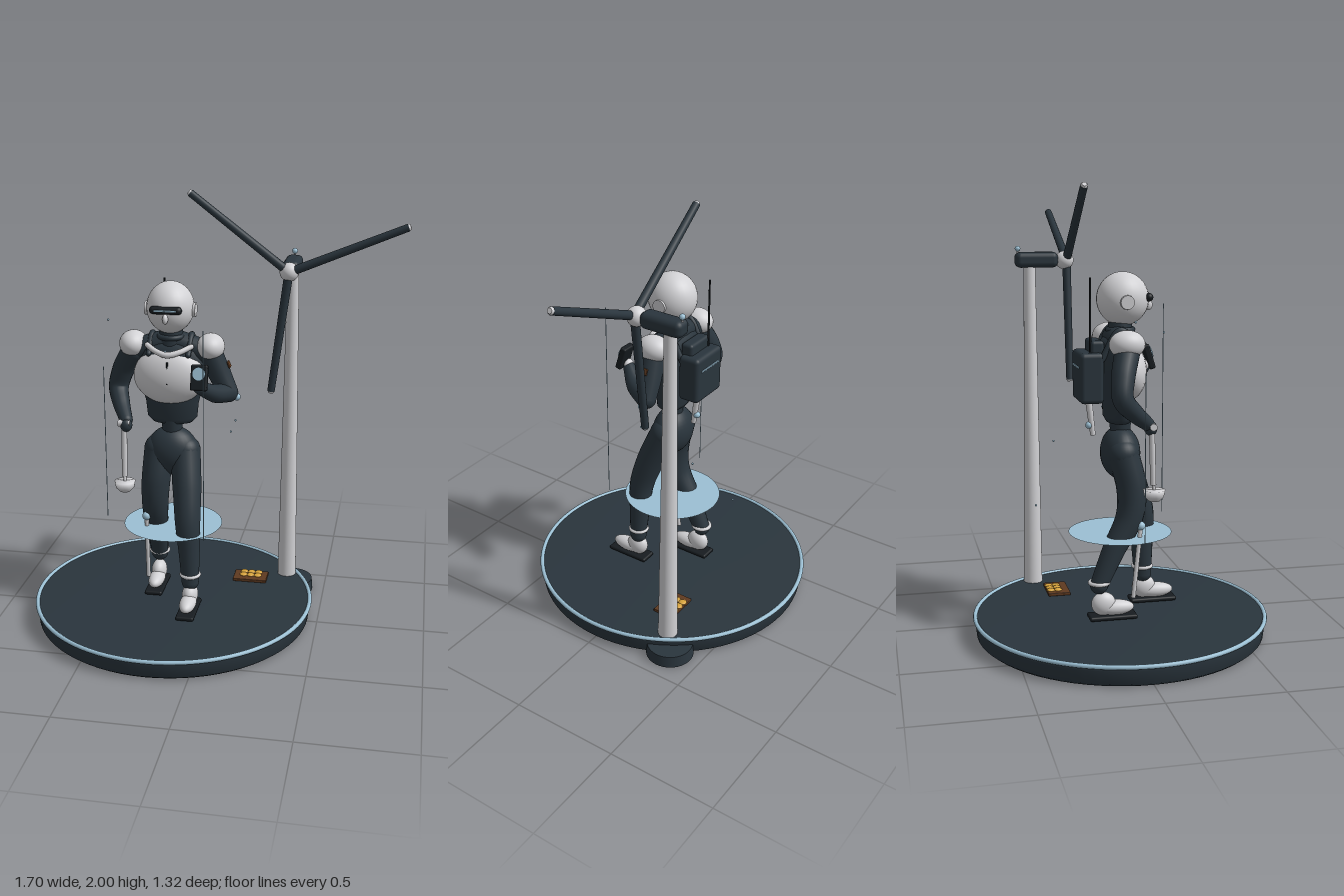
import * as THREE from 'three';
import { RoundedBoxGeometry } from 'three/addons/geometries/RoundedBoxGeometry.js';

const mat = (name, color, side = THREE.FrontSide) => {
  const m = new THREE.MeshStandardMaterial({ color, side });
  m.name = name;
  return m;
};
const V = (p) => new THREE.Vector3(...p);

export function createModel() {
  const dark = mat('charcoal', 0x2a353d);
  const black = mat('black', 0x171c20);
  const white = mat('shell white', 0xd2d2d5);
  const blue = mat('pale blue', 0x9cc0d4, THREE.DoubleSide);
  const brown = mat('tray brown', 0x5f3a20);
  const yellow = mat('amber', 0xd8a43c);
  const model = new THREE.Group();

  // Helpers
  const add = (parent, name, geo, m, p = [0, 0, 0], rot = [0, 0, 0], s = [1, 1, 1]) => {
    const mesh = new THREE.Mesh(geo, m);
    mesh.name = name;
    mesh.position.set(...p);
    mesh.rotation.set(...rot);
    mesh.scale.set(...s);
    parent.add(mesh);
    return mesh;
  };
  const group = (name) => {
    const g = new THREE.Group();
    g.name = name;
    model.add(g);
    return g;
  };
  const ball = (parent, name, m, p, r) =>
    add(parent, name, new THREE.SphereGeometry(1, 28, 20), m, p, [0, 0, 0], Array.isArray(r) ? r : [r, r, r]);
  const box = (parent, name, m, p, size, rad = 0.008, rot) =>
    add(parent, name, new RoundedBoxGeometry(...size, 3, rad), m, p, rot);
  const rod = (parent, name, m, a, b, r0, r1 = r0, seg = 16) => {
    const d = V(b).sub(V(a));
    const mesh = add(parent, name, new THREE.CylinderGeometry(r1, r0, d.length(), seg), m);
    mesh.position.copy(V(a)).addScaledVector(d, 0.5);
    mesh.quaternion.setFromUnitVectors(new THREE.Vector3(0, 1, 0), d.normalize());
    return mesh;
  };
  // Tapered tube through points, with rounded ends
  const limb = (parent, name, m, pts, radii) => {
    const curve = new THREE.CatmullRomCurve3(pts.map(V));
    const N = 28, R = 18;
    const geo = new THREE.TubeGeometry(curve, N, 1, R);
    const pos = geo.attributes.position, v = new THREE.Vector3();
    for (let i = 0; i <= N; i++) {
      const c = curve.getPointAt(i / N);
      const f = (i / N) * (radii.length - 1), k = Math.min(Math.floor(f), radii.length - 2);
      const r = THREE.MathUtils.lerp(radii[k], radii[k + 1], f - k);
      for (let j = 0; j <= R; j++) {
        const n = i * (R + 1) + j;
        v.fromBufferAttribute(pos, n).sub(c).multiplyScalar(r).add(c);
        pos.setXYZ(n, v.x, v.y, v.z);
      }
    }
    add(parent, name, geo, m);
    ball(parent, name + 'Start', m, pts[0], radii[0]);
    ball(parent, name + 'End', m, pts[pts.length - 1], radii[radii.length - 1]);
  };
  const CX = -0.19;

  // Round display base with pale rim
  const base = group('base');
  const prof = [[0, 0], [0.63, 0], [0.645, 0.012], [0.652, 0.07], [0.65, 0.09], [0, 0.09]];
  add(base, 'basePlate', new THREE.LatheGeometry(prof.map((p) => new THREE.Vector2(...p)), 72), dark, [CX, 0, 0]);
  add(base, 'baseRim', new THREE.TorusGeometry(0.651, 0.01, 10, 96), blue, [CX, 0.088, 0], [Math.PI / 2, 0, 0]);
  add(base, 'towerFoot', new THREE.CylinderGeometry(0.105, 0.11, 0.055, 40), dark, [0.335, 0.0275, -0.345]);

  // Floating scan disc and fine light beams
  const scan = group('scanField');
  add(scan, 'scanDisc', new THREE.CircleGeometry(0.23, 56), blue, [CX, 0.465, 0], [-Math.PI / 2, 0, 0]);
  rod(scan, 'rightBeam', blue, [-0.497, 0.49, 0.04], [-0.497, 1.22, 0.04], 0.0018, 0.0018, 6);
  rod(scan, 'frontBeam', blue, [0, 0.49, 0.243], [0, 1.46, 0.243], 0.0018, 0.0018, 6);
  [[0.04, 0.84, -0.26], [-0.14, 0.59, -0.37], [-0.175, 1.35, 0.2], [-0.48, 1.43, 0], [0.1, 0.98, -0.02]]
    .forEach((p) => ball(scan, 'speck', blue, p, 0.005));

  // Wind turbine
  const turbine = group('windTurbine');
  const hub = [0.317, 1.645, -0.145];
  rod(turbine, 'tower', white, [0.317, 0.05, -0.32], [0.317, 1.63, -0.32], 0.045, 0.027, 32);
  box(turbine, 'nacelle', dark, [0.317, 1.648, -0.288], [0.078, 0.072, 0.2], 0.025);
  ball(turbine, 'hub', white, [0.317, 1.645, -0.155], 0.043);
  rod(turbine, 'sensorStem', white, [0.317, 1.67, -0.375], [0.317, 1.7, -0.375], 0.004);
  ball(turbine, 'sensorBall', blue, [0.317, 1.7, -0.375], 0.013);
  for (let i = 0; i < 3; i++) {
    const a = THREE.MathUtils.degToRad(22.6 + i * 120);
    const at = (d) => [hub[0] + Math.cos(a) * d, hub[1] + Math.sin(a) * d, hub[2]];
    rod(turbine, 'blade', dark, at(0.03), at(0.56), 0.02, 0.017);
    rod(turbine, 'bladeTip', white, at(0.56), at(0.569), 0.016, 0.011);
  }

  // Tray of round cells
  const tray = group('cellTray');
  box(tray, 'tray', brown, [0.148, 0.097, -0.232], [0.164, 0.014, 0.105], 0.003);
  for (let i = 0; i < 3; i++) for (const z of [-0.266, -0.232])
    ball(tray, 'cell', yellow, [0.113 + i * 0.035, 0.105, z], [0.019, 0.008, 0.019]);

  // Head, neck and visor
  const head = group('head');
  ball(head, 'skull', white, [CX, 1.503, 0.01], [0.107, 0.117, 0.115]);
  for (const s of [-1, 1])
    add(head, 'earDisc', new THREE.CylinderGeometry(0.03, 0.032, 0.022, 28), white, [CX + s * 0.104, 1.495, 0.008], [0, 0, Math.PI / 2]);
  add(head, 'visor', new THREE.CapsuleGeometry(0.018, 0.11, 8, 20), black, [CX, 1.511, 0.115], [0, 0, Math.PI / 2]);
  box(head, 'visorStrip', blue, [CX, 1.511, 0.132], [0.1, 0.008, 0.006], 0.002);
  ball(head, 'nose', white, [CX, 1.474, 0.124], [0.012, 0.023, 0.02]);
  rod(head, 'neck', dark, [CX, 1.3, -0.005], [CX, 1.41, 0], 0.062, 0.05, 28);
  add(head, 'neckRing', new THREE.TorusGeometry(0.054, 0.012, 10, 32), dark, [CX, 1.37, 0], [Math.PI / 2, 0, 0]);

  // Torso, chest shell and hips
  const body = group('torso');
  const tp = [[0, 0.962], [0.09, 0.965], [0.115, 0.99], [0.122, 1.06], [0.145, 1.15], [0.158, 1.24], [0.145, 1.31], [0.1, 1.345], [0, 1.355]];
  add(body, 'undersuit', new THREE.LatheGeometry(tp.map((p) => new THREE.Vector2(...p)), 40), dark, [CX, 0, -0.01], [0, 0, 0], [1, 1, 0.56]);
  ball(body, 'chestShell', white, [CX - 0.005, 1.19, 0.025], [0.165, 0.132, 0.085]);
  rod(body, 'chestSeam', black, [CX, 1.17, 0.106], [CX, 1.27, 0.096], 0.004);
  rod(body, 'waistJoint', dark, [CX, 0.92, 0], [CX, 0.98, 0], 0.045, 0.05);
  limb(body, 'collarBar', white, [[-0.29, 1.335, 0.05], [-0.24, 1.315, 0.085], [CX, 1.305, 0.1], [-0.14, 1.315, 0.085], [-0.09, 1.335, 0.05]], [0.012, 0.014, 0.012]);
  limb(body, 'shoulderYoke', dark, [[-0.35, 1.3, -0.01], [CX, 1.335, -0.012], [-0.03, 1.3, -0.01]], [0.05, 0.06, 0.05]);
  ball(body, 'hips', dark, [CX, 0.825, 0], [0.12, 0.118, 0.088]);

  // Legs and shoes: left steps forward, right trails
  const legs = group('legs');
  const shoe = (x, dz) => {
    box(legs, 'sole', black, [x, 0.105, 0.175 + dz], [0.085, 0.02, 0.215], 0.009);
    ball(legs, 'toeShell', white, [x, 0.143, 0.188 + dz], [0.038, 0.034, 0.085]);
    ball(legs, 'heelShell', white, [x, 0.163, 0.135 + dz], [0.037, 0.053, 0.055]);
  };
  limb(legs, 'leftLeg', dark, [[-0.128, 0.83, 0.005], [-0.108, 0.66, 0.075], [-0.098, 0.52, 0.117], [-0.09, 0.38, 0.125], [-0.085, 0.225, 0.13]], [0.07, 0.068, 0.06, 0.05, 0.04]);
  limb(legs, 'rightLeg', dark, [[-0.252, 0.83, 0.0], [-0.263, 0.68, 0.035], [-0.27, 0.55, 0.025], [-0.277, 0.41, -0.045], [-0.283, 0.25, -0.115]], [0.07, 0.067, 0.06, 0.05, 0.04]);
  shoe(-0.085, 0);
  shoe(-0.283, -0.23);
  for (const [x, y, z] of [[-0.085, 0.262, 0.128], [-0.283, 0.262, -0.115]])
    add(legs, 'ankleRing', new THREE.TorusGeometry(0.041, 0.009, 10, 32), white, [x, y, z], [Math.PI / 2, 0, 0]);
  ball(legs, 'kneeJoint', blue, [-0.303, 0.515, 0.068], 0.02);
  rod(legs, 'legBrace', white, [-0.303, 0.51, 0.068], [-0.306, 0.19, 0.035], 0.01);
  rod(legs, 'braceStrut', white, [-0.303, 0.52, 0.068], [-0.303, 0.65, 0.06], 0.005);

  // Arms
  const arms = group('arms');
  ball(arms, 'rightShoulderPad', white, [-0.367, 1.325, -0.01], [0.064, 0.06, 0.078]);
  ball(arms, 'leftShoulderPad', white, [-0.013, 1.325, -0.01], [0.064, 0.06, 0.078]);
  limb(arms, 'rightArm', dark, [[-0.368, 1.29, -0.01], [-0.425, 1.19, -0.04], [-0.45, 1.105, -0.045], [-0.425, 1.04, 0.01], [-0.388, 0.985, 0.075]], [0.055, 0.052, 0.047, 0.04, 0.03]);
  limb(arms, 'leftUpperArm', dark, [[-0.012, 1.29, -0.01], [0.03, 1.19, -0.02], [0.066, 1.11, -0.025]], [0.055, 0.052, 0.045]);
  limb(arms, 'leftForearm', dark, [[0.066, 1.11, -0.025], [0.02, 1.13, 0.065], [-0.035, 1.175, 0.14]], [0.045, 0.042, 0.028]);
  ball(arms, 'leftElbowJoint', blue, [0.105, 1.09, -0.028], 0.017);
  box(arms, 'armPatch', brown, [0.07, 1.245, -0.015], [0.008, 0.03, 0.035], 0.003, [0, 0, 0.4]);
  ball(arms, 'rightHand', dark, [-0.385, 0.965, 0.09], [0.028, 0.032, 0.028]);
  ball(arms, 'leftHand', white, [-0.04, 1.19, 0.148], [0.026, 0.024, 0.02]);

  // Hand-held reader
  const reader = group('handReader');
  reader.position.set(-0.032, 1.228, 0.163);
  reader.rotation.x = -0.3;
  box(reader, 'readerBody', black, [0, 0, 0], [0.075, 0.115, 0.03], 0.008);
  add(reader, 'readerLens', new THREE.CylinderGeometry(0.028, 0.028, 0.008, 28), blue, [0, 0.016, 0.017], [Math.PI / 2, 0, 0]);

  // Ladle in the right hand
  const ladle = group('ladle');
  rod(ladle, 'ladleHandle', white, [-0.393, 0.99, 0.092], [-0.395, 0.72, 0.1], 0.013);
  rod(ladle, 'ladleGrip', white, [-0.42, 0.975, 0.095], [-0.365, 0.975, 0.095], 0.016);
  const bowl = [[0, 0.645], [0.025, 0.65], [0.042, 0.668], [0.048, 0.698], [0, 0.698]];
  add(ladle, 'ladleBowl', new THREE.LatheGeometry(bowl.map((p) => new THREE.Vector2(...p)), 28), white, [-0.393, 0, 0.105]);
  rod(ladle, 'ladleNeck', white, [-0.395, 0.725, 0.1], [-0.393, 0.69, 0.105], 0.007);

  // Backpack with antenna and trailing hose
  const pack = group('backpack');
  box(pack, 'packBody', dark, [CX, 1.17, -0.143], [0.205, 0.22, 0.105], 0.02);
  box(pack, 'packTop', dark, [CX, 1.295, -0.115], [0.15, 0.07, 0.06], 0.015);
  box(pack, 'packStripe', blue, [CX, 1.215, -0.196], [0.14, 0.009, 0.006], 0.002);
  rod(pack, 'antenna', black, [-0.25, 1.26, -0.145], [-0.25, 1.6, -0.145], 0.005, 0.004, 10);
  rod(pack, 'hose', white, [CX + 0.01, 1.07, -0.14], [CX + 0.01, 0.905, -0.12], 0.016, 0.012);
  ball(pack, 'hoseJoint', blue, [CX + 0.01, 0.95, -0.138], 0.016);
  for (const s of [-1, 1])
    limb(pack, 'strap', dark, [[CX + s * 0.085, 1.25, -0.1], [CX + s * 0.09, 1.375, -0.02], [CX + s * 0.09, 1.3, 0.07]], [0.014, 0.014, 0.012]);

  return model;
}
